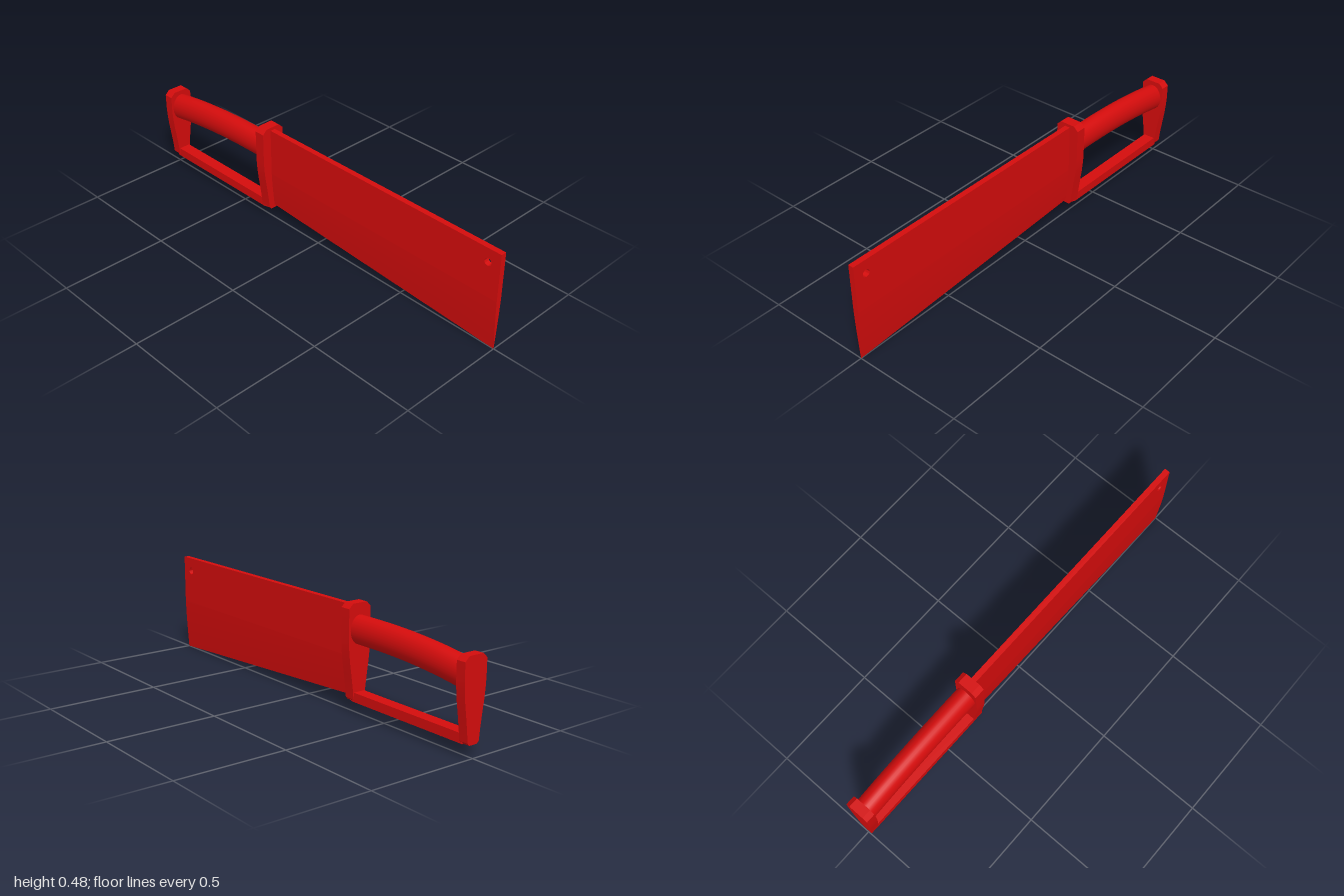
import * as THREE from 'three';
import { toCreasedNormals } from 'three/addons/utils/BufferGeometryUtils.js';

const red = new THREE.MeshStandardMaterial({ color: 0xd40c0c });

function part(group, name, geometry) {
  const mesh = new THREE.Mesh(geometry, red);
  mesh.name = name;
  group.add(mesh);
  return mesh;
}

// Mirror half an outline, listed from bottom to top as [x, y], into a closed shape
function mirrored(half) {
  const left = half.filter(([x]) => x > 0).reverse().map(([x, y]) => [-x, y]);
  return new THREE.Shape([...half, ...left].map(([x, y]) => new THREE.Vector2(x, y)));
}

// Upright end plate of the handle, between two depths
function guardPlate(top, zBack, zFront) {
  const shape = mirrored([
    [0.02, 0.055], [0.03, 0.066], [0.034, 0.11], [0.042, 0.17], [0.05, 0.225],
    [0.055, 0.275], [0.057, 0.31], [0.057, top - 0.02], [0.036, top],
  ]);
  const g = new THREE.ExtrudeGeometry(shape, { depth: zFront - zBack, bevelEnabled: false });
  g.translate(0, 0, zBack);
  return toCreasedNormals(g, 0.5);
}

export function createModel() {
  const model = new THREE.Group();
  model.name = 'machete';

  const bladeBack = -0.3, bladeTip = 1, bevelY = 0.24, bladeTop = 0.463, halfThick = 0.013;

  // Flat upper blade with the hanging hole
  const plate = new THREE.Shape();
  plate.moveTo(bladeBack, bevelY);
  plate.lineTo(bladeTip, bevelY);
  plate.lineTo(bladeTip, bladeTop);
  plate.lineTo(bladeBack, bladeTop);
  plate.closePath();
  const hole = new THREE.Path();
  hole.absarc(0.94, 0.4, 0.017, 0, Math.PI * 2, true);
  plate.holes.push(hole);
  const plateGeo = new THREE.ExtrudeGeometry(plate, {
    depth: halfThick * 2, bevelEnabled: false, curveSegments: 16,
  });
  plateGeo.translate(0, 0, -halfThick).rotateY(-Math.PI / 2);
  part(model, 'bladePlate', toCreasedNormals(plateGeo, 0.6));

  // Ground cutting edge: the section's height stretches as the edge slopes down to the tip
  const section = mirrored([[0, 0], [0.0025, 0.15], [0.006, 0.36], [0.0105, 0.7], [halfThick, 1]]);
  const edgeGeo = new THREE.ExtrudeGeometry(section, { depth: 1, bevelEnabled: false });
  const p = edgeGeo.attributes.position;
  for (let i = 0; i < p.count; i++) {
    const s = p.getZ(i);
    const bottom = 0.07 * (1 - s);
    p.setY(i, bottom + (bevelY - bottom) * p.getY(i));
    p.setZ(i, bladeBack + (bladeTip - bladeBack) * s);
  }
  part(model, 'cuttingEdge', toCreasedNormals(edgeGeo, 0.5));

  // Handle end plates
  part(model, 'frontGuard', guardPlate(0.477, -0.34, -0.29));
  part(model, 'rearGuard', guardPlate(0.406, -1, -0.956));

  // Curved oval grip
  const gripPath = new THREE.CatmullRomCurve3([
    [-0.325, 0.364], [-0.5, 0.363], [-0.65, 0.357], [-0.8, 0.344], [-0.9, 0.331], [-0.97, 0.32],
  ].map(([z, y]) => new THREE.Vector3(0, y, z)));
  const gripGeo = new THREE.TubeGeometry(gripPath, 24, 0.063, 32);
  gripGeo.scale(0.77, 1, 1);
  part(model, 'grip', gripGeo);

  // Knuckle bar with a row of pointed teeth underneath
  const bar = part(model, 'knuckleBar', new THREE.BoxGeometry(0.056, 0.041, 0.64));
  bar.position.set(0, 0.0755, -0.648);

  const teeth = new THREE.Group();
  teeth.name = 'knuckleTeeth';
  const toothGeo = new THREE.ConeGeometry(0.027, 0.018, 12);
  toothGeo.rotateX(Math.PI);
  const count = 12;
  for (let i = 0; i < count; i++) {
    const tooth = part(teeth, 'tooth', toothGeo);
    tooth.position.set(0, 0.048, -0.322 - i * (0.62 / (count - 1)));
  }
  model.add(teeth);

  return model;
}
